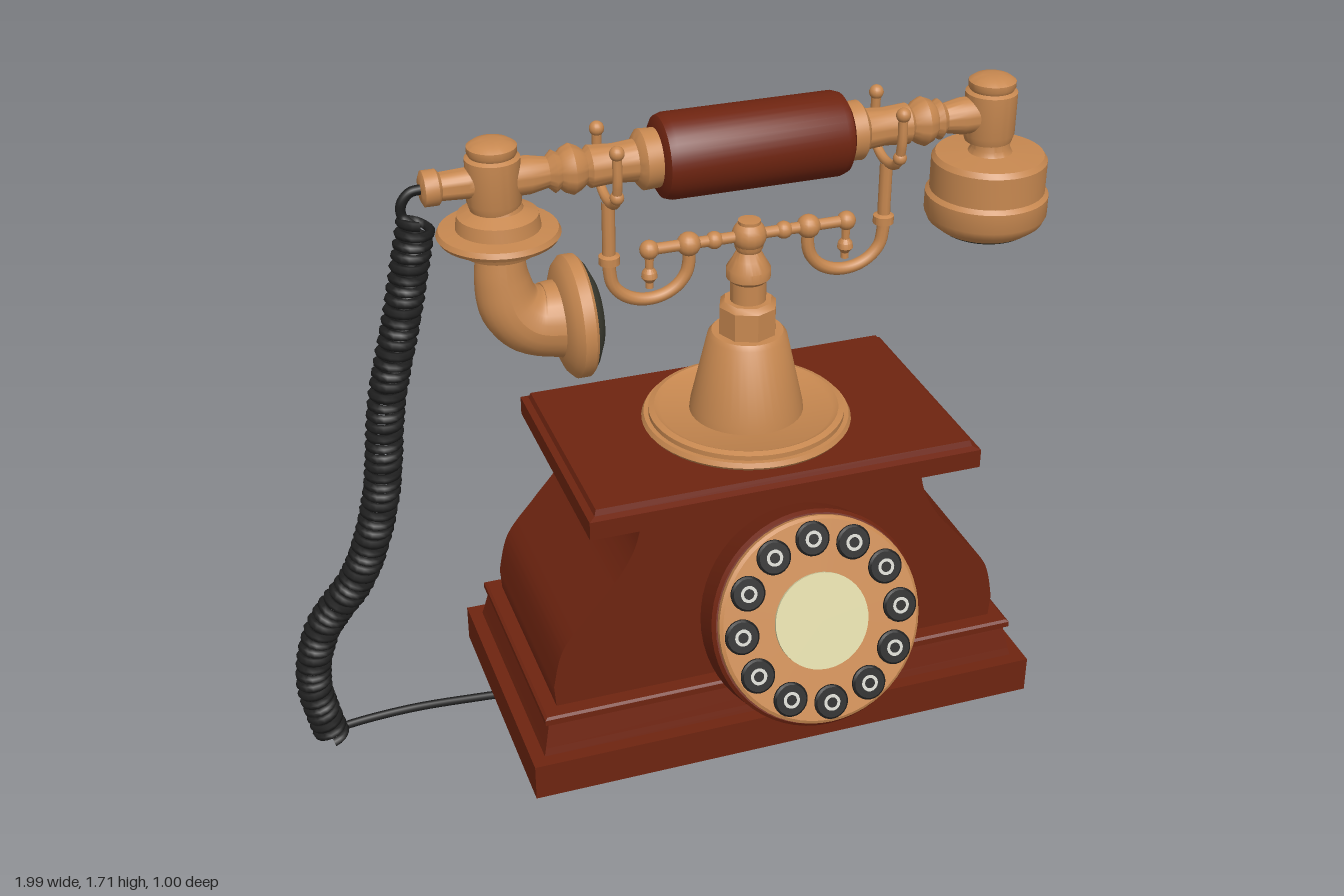
import * as THREE from 'three';
import { toCreasedNormals } from 'three/addons/utils/BufferGeometryUtils.js';

const mat = (name, color) => {
  const m = new THREE.MeshStandardMaterial({ color });
  m.name = name;
  return m;
};
const V = (x, y, z = 0) => new THREE.Vector3(x, y, z);

export function createModel() {
  const wood = mat('red wood', 0x6e2410);
  const brass = mat('brass', 0xc78850);
  const black = mat('black', 0x1e1e1e);
  const cream = mat('cream', 0xd9d3a3);
  const grille = mat('dark grille', 0x3c3c31);
  const pale = mat('pale mark', 0xcfcfc8);

  const model = new THREE.Group();
  model.name = 'telephone';
  // Everything is built around the axis of the stand
  const phone = new THREE.Group();
  phone.name = 'phone';
  phone.position.set(0.205, 0, -0.14);
  model.add(phone);

  const add = (name, geo, material, x = 0, y = 0, z = 0, parent = phone) => {
    const m = new THREE.Mesh(geo, material);
    m.name = name;
    m.position.set(x, y, z);
    parent.add(m);
    return m;
  };
  // Turned part from [radius, height] pairs, bottom to top
  const turned = (pts, seg = 40) => toCreasedNormals(
    new THREE.LatheGeometry(pts.map(p => new THREE.Vector2(p[0], p[1])), seg), 0.6);
  const ball = r => new THREE.SphereGeometry(r, 16, 12);
  const tube = (pts, r, n = 32) =>
    new THREE.TubeGeometry(new THREE.CatmullRomCurve3(pts), n, r, 10);

  // Rectangular moulding from [height, half width, half depth] levels
  const moulding = levels => {
    const pos = [];
    const c = ([y, x, z], k) => [[x, y, z], [x, y, -z], [-x, y, -z], [-x, y, z]][k % 4];
    const quad = (a, b, d, e) => pos.push(...a, ...b, ...d, ...a, ...d, ...e);
    for (let i = 0; i + 1 < levels.length; i++)
      for (let k = 0; k < 4; k++)
        quad(c(levels[i], k), c(levels[i], k + 1), c(levels[i + 1], k + 1), c(levels[i + 1], k));
    const t = levels[levels.length - 1], b = levels[0];
    quad(c(t, 0), c(t, 1), c(t, 2), c(t, 3));
    quad(c(b, 3), c(b, 2), c(b, 1), c(b, 0));
    const g = new THREE.BufferGeometry();
    g.setAttribute('position', new THREE.Float32BufferAttribute(pos, 3));
    g.computeVertexNormals();
    return g;
  };

  // Wooden case
  add('plinth', moulding([[0.07, 0.685, 0.36], [0.17, 0.685, 0.36], [0.17, 0.65, 0.325],
    [0.19, 0.645, 0.32], [0.25, 0.632, 0.307], [0.26, 0.632, 0.307], [0.26, 0.642, 0.317],
    [0.275, 0.642, 0.317], [0.28, 0.635, 0.31]]), wood);
  for (const sx of [-1, 1]) for (const sz of [-1, 1])
    add('foot', moulding([[0, 0.028, 0.028], [0.07, 0.055, 0.05]]), wood, sx * 0.565, 0, sz * 0.245);

  const side = [[0.605, 0.34], [0.577, 0.45], [0.5, 0.55], [0.43, 0.635], [0.388, 0.71], [0.368, 0.79]];
  const outline = new THREE.Shape();
  outline.moveTo(-0.6, 0.27);
  outline.lineTo(0.6, 0.27);
  outline.lineTo(...side[0]);
  outline.splineThru(side.slice(1).map(p => new THREE.Vector2(...p)));
  outline.lineTo(-0.368, 0.79);
  outline.splineThru([...side].reverse().slice(1).map(p => new THREE.Vector2(-p[0], p[1])));
  const bodyGeo = new THREE.ExtrudeGeometry(outline,
    { depth: 0.545, bevelEnabled: false, curveSegments: 24 });
  add('body', toCreasedNormals(bodyGeo, 0.5), wood, 0, 0, -0.2725);
  add('top slab', moulding([[0.78, 0.48, 0.285], [0.79, 0.48, 0.285], [0.79, 0.512, 0.317],
    [0.84, 0.512, 0.317], [0.845, 0.495, 0.3], [0.86, 0.49, 0.295]]), wood);

  // Brass stand
  add('base disc', turned([[0, 0.86], [0.262, 0.86], [0.268, 0.868], [0.262, 0.88], [0.25, 0.88],
    [0.25, 0.893], [0.235, 0.898], [0.22, 0.89], [0, 0.89]], 56), brass);
  add('stand cone', turned([[0.146, 0.885], [0.143, 0.91], [0.1, 1.1], [0.09, 1.112], [0, 1.112]]), brass);
  add('stand collar', turned([[0.075, 1.1], [0.075, 1.185], [0.062, 1.198], [0, 1.198]], 8), brass);
  add('stand column', turned([[0.045, 1.19], [0.045, 1.25], [0.055, 1.26], [0.055, 1.285],
    [0.04, 1.31], [0.03, 1.33], [0.035, 1.34], [0.035, 1.39], [0.028, 1.4], [0.028, 1.41], [0, 1.413]]), brass);

  // Cradle arms with two-pronged rests
  const bar = new THREE.CylinderGeometry(0.014, 0.014, 0.51, 12);
  add('crossbar', bar, brass, 0, 1.37).rotation.z = Math.PI / 2;
  add('crossbar hub', ball(0.043), brass, 0, 1.37);
  for (const s of [-1, 1]) {
    const hook = [V(0.155, 1.37), V(0.155, 1.32)];
    for (let i = 1; i < 8; i++) {
      const a = Math.PI * (1 + i / 8);
      hook.push(V(0.255 + 0.1 * Math.cos(a), 1.325 - 0.085 * Math.sin(-a)));
    }
    hook.push(V(0.355, 1.33), V(0.355, 1.4), V(0.355, 1.51));
    add('cradle arm', tube(hook.map(p => V(s * p.x, p.y)), 0.016, 60), brass);
    add('arm joint', ball(0.03), brass, s * 0.155, 1.37);
    add('bar end', ball(0.024), brass, s * 0.255, 1.37);
    add('bar bead', ball(0.022), brass, s * 0.09, 1.37);
    add('hanging finial', turned([[0, 1.265], [0.01, 1.27], [0.01, 1.285], [0.02, 1.298], [0.018, 1.312],
      [0.01, 1.322], [0.012, 1.37]], 16), brass, s * 0.255);
    add('arm collar', turned([[0.015, 1.345], [0.026, 1.35], [0.026, 1.37], [0.015, 1.375]], 16), brass, s * 0.355);
    const prongs = [V(0, 1.66, -0.08), V(0, 1.58, -0.08), V(0, 1.53, -0.06), V(0, 1.512, 0),
      V(0, 1.53, 0.06), V(0, 1.58, 0.08), V(0, 1.66, 0.08)];
    add('rest fork', tube(prongs, 0.012, 40), brass, s * 0.355);
    for (const z of [-0.08, 0.08]) {
      add('prong ball', ball(0.018), brass, s * 0.355, 1.662, z);
      add('prong bead', ball(0.017), brass, s * 0.355, 1.55, z * 0.92);
    }
  }

  // Handset bar
  const axis = 1.605;
  add('handset grip', turned([[0, -0.237], [0.082, -0.237], [0.097, -0.228], [0.103, -0.21],
    [0.103, 0.21], [0.097, 0.228], [0.082, 0.237], [0, 0.237]]), wood, 0, axis).rotation.z = Math.PI / 2;
  for (const s of [-1, 1]) {
    add('handset neck', turned([[0.07, 0.23], [0.072, 0.275], [0.06, 0.285], [0.05, 0.29], [0.046, 0.34],
      [0.05, 0.4], [0.04, 0.41], [0.052, 0.425], [0.06, 0.443], [0.052, 0.462], [0.042, 0.472],
      [0.05, 0.485], [0.036, 0.5], [0.045, 0.545], [0.045, 0.6]]), brass, 0, axis)
      .rotation.z = -s * Math.PI / 2;
    add('handset joint', turned([[0, 1.535], [0.058, 1.535], [0.064, 1.555], [0.064, 1.66], [0.054, 1.666],
      [0.058, 1.674], [0.058, 1.688], [0.045, 1.697], [0.025, 1.702], [0, 1.702]]), brass, s * 0.626);
  }
  add('cord socket', turned([[0.04, 0.66], [0.036, 0.69], [0.033, 0.75], [0.042, 0.758],
    [0.042, 0.79], [0.03, 0.796], [0, 0.796]], 24), brass, 0, axis).rotation.z = Math.PI / 2;

  // Earpiece
  add('earpiece', turned([[0.12, 1.305], [0.145, 1.325], [0.154, 1.345], [0.154, 1.395], [0.144, 1.405],
    [0.144, 1.485], [0.135, 1.498], [0.055, 1.503], [0.048, 1.515], [0.048, 1.54]]), brass, 0.635);
  add('earpiece grille', turned([[0, 1.277], [0.06, 1.282], [0.11, 1.298], [0.14, 1.322]]), grille, 0.635);

  // Mouthpiece with a widening elbow
  add('mouthpiece flange', turned([[0.05, 1.38], [0.055, 1.42], [0.09, 1.43], [0.1, 1.455], [0.14, 1.462],
    [0.146, 1.472], [0.14, 1.484], [0.1, 1.488], [0.095, 1.52], [0.06, 1.535], [0.055, 1.55]]), brass, -0.62);
  const elbow = new THREE.CatmullRomCurve3([V(-0.62, 1.43), V(-0.618, 1.35), V(-0.6, 1.28),
    V(-0.555, 1.237), V(-0.475, 1.225)]);
  const elbowGeo = new THREE.TubeGeometry(elbow, 28, 0.055, 24);
  const ep = elbowGeo.attributes.position, v = V(0, 0);
  for (let i = 0; i < ep.count; i++) {
    const t = Math.floor(i / 25) / 28, c = elbow.getPointAt(t);
    v.fromBufferAttribute(ep, i).sub(c).multiplyScalar(1 + 0.75 * t).add(c);
    ep.setXYZ(i, v.x, v.y, v.z);
  }
  elbowGeo.computeVertexNormals();
  add('mouthpiece elbow', elbowGeo, brass);
  add('mouthpiece bell', turned([[0, 0], [0.1, 0], [0.135, 0.015], [0.15, 0.03], [0.15, 0.058],
    [0.142, 0.066], [0, 0.066]]), brass, -0.49, 1.225).rotation.z = -Math.PI / 2;
  add('mouthpiece grille', turned([[0.145, 0.06], [0.13, 0.075], [0.09, 0.095], [0.05, 0.104], [0, 0.108]]),
    grille, -0.49, 1.225).rotation.z = -Math.PI / 2;

  // Tilted dial
  const dial = new THREE.Group();
  dial.name = 'dial';
  dial.position.set(0, 0.585, 0.535);
  dial.rotation.x = 1.186;
  phone.add(dial);
  add('dial mount', turned([[0, -0.32], [0.155, -0.32], [0.155, -0.27], [0.14, -0.255], [0.12, -0.235],
    [0.112, -0.11]]), wood, 0, 0, 0, dial);
  add('dial housing', turned([[0, -0.125], [0.262, -0.125], [0.27, -0.115], [0.27, -0.03],
    [0.262, -0.02], [0, -0.02]], 56), wood, 0, 0, 0, dial);
  add('dial plate', turned([[0.258, -0.022], [0.258, -0.006], [0.25, 0], [0, 0]], 56), brass, 0, 0, 0, dial);
  add('dial centre', new THREE.CylinderGeometry(0.12, 0.12, 0.008, 40), cream, 0, 0.003, 0, dial);
  for (let i = 0; i < 12; i++) {
    const a = i * Math.PI / 6, x = 0.205 * Math.sin(a), z = 0.205 * Math.cos(a);
    add('finger button', turned([[0.043, 0], [0.043, 0.006], [0.038, 0.01], [0, 0.01]], 24), black, x, 0, z, dial);
    const mark = new THREE.RingGeometry(0.013, 0.021, 16).rotateX(-Math.PI / 2);
    add('button mark', mark, pale, x, 0.0115, z, dial);
  }

  // Coiled cord wound around a drooping spine
  const spine = new THREE.CatmullRomCurve3([V(-0.605, 1.53, -0.14), V(-0.655, 1.3, -0.14),
    V(-0.708, 1.08, -0.142), V(-0.745, 0.8, -0.15), V(-0.81, 0.58, -0.175),
    V(-0.915, 0.4, -0.215), V(-0.95, 0.24, -0.225), V(-0.92, 0.05, -0.225)]);
  class Coil extends THREE.Curve {
    getPoint(t, target = V(0, 0)) {
      const a = t * 56 * Math.PI * 2, dir = spine.getTangentAt(t);
      const n = V(0, 0, 1).addScaledVector(dir, -dir.z).normalize();
      const b = dir.clone().cross(n);
      return target.copy(spine.getPointAt(t))
        .addScaledVector(n, 0.036 * Math.cos(a)).addScaledVector(b, 0.036 * Math.sin(a));
    }
  }
  const coil = new Coil();
  coil.arcLengthDivisions = 2000;
  add('coiled cord', new THREE.TubeGeometry(coil, 900, 0.0115, 6), black, 0, 0, 0, model);
  add('cord top', tube([V(-0.585, 1.605, -0.14), V(-0.615, 1.6, -0.14), V(-0.636, 1.575, -0.14),
    V(-0.636, 1.545, -0.14), V(-0.61, 1.52, -0.12)], 0.012), black, 0, 0, 0, model);
  add('cord tail', tube([V(-0.95, 0.045, -0.235), V(-0.87, 0.055, -0.245), V(-0.7, 0.065, -0.245),
    V(-0.52, 0.055, -0.245), V(-0.36, 0.045, -0.24)], 0.011), black, 0, 0, 0, model);
  add('cord clamp', new THREE.BoxGeometry(0.1, 0.04, 0.1), black, -0.35, 0.052, -0.22, model);
  return model;
}
